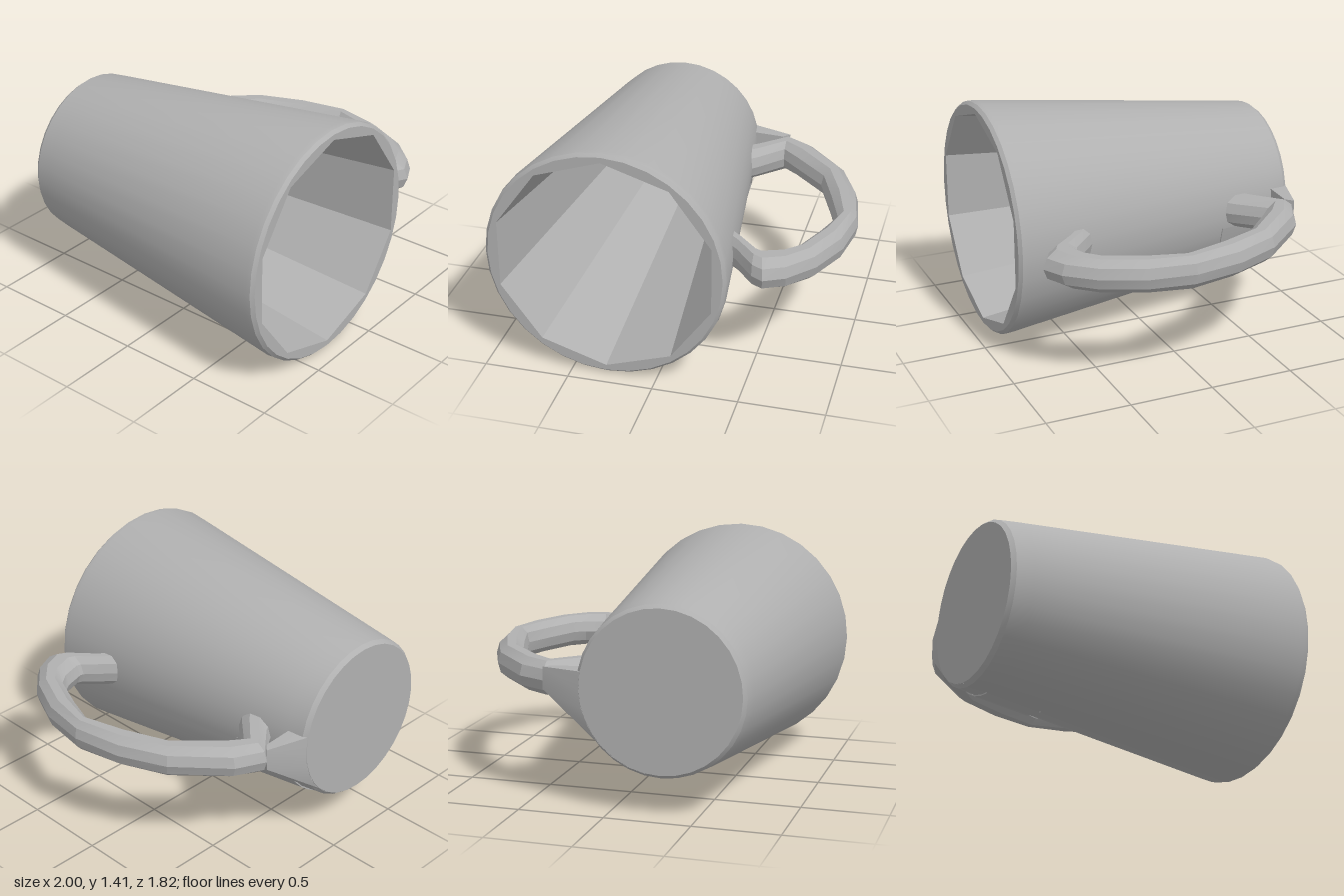
import * as THREE from 'three';
import { toCreasedNormals } from 'three/addons/utils/BufferGeometryUtils.js';
import { ConvexGeometry } from 'three/addons/geometries/ConvexGeometry.js';

const CX = -0.295, CY = 0.705; // axis of the mug, which lies along z
const R_RIM = 0.65, R_FLOOR = 0.43, Z_RIM = 0.91, Z_FLOOR = -0.78;

export function createModel() {
  const group = new THREE.Group();
  const clay = new THREE.MeshStandardMaterial({ color: 0xb0b0b0, side: THREE.DoubleSide });
  clay.name = 'grey clay';

  const add = (name, geometry, crease = 0.4) => {
    const mesh = new THREE.Mesh(toCreasedNormals(geometry, crease), clay);
    mesh.name = name;
    group.add(mesh);
  };
  const onAxis = (geometry) => geometry.translate(CX, CY, 0);
  const lathe = (profile, sides, start, sweep) => onAxis(new THREE.LatheGeometry(
    profile.map(([r, z]) => new THREE.Vector2(r, z)), sides, start, sweep).rotateX(Math.PI / 2));

  // Tapered outside with a closed base and softened edges
  add('outerWall', lathe([[0, -0.91], [0.465, -0.91], [0.485, -0.885], [0.5, -0.78],
    [0.703, 0.86], [0.7, 0.89], [0.682, Z_RIM]], 32));

  // Ten-sided inside wall and floor
  add('innerWall', onAxis(new THREE.CylinderGeometry(R_RIM, R_FLOOR, Z_RIM - Z_FLOOR, 10, 1, true)
    .translate(0, (Z_RIM + Z_FLOOR) / 2, 0).rotateX(Math.PI / 2)));
  add('innerFloor', onAxis(new THREE.CircleGeometry(R_FLOOR, 10, Math.PI / 2).translate(0, 0, Z_FLOOR)));

  // Flat lip between the round outside and the ten-sided inside
  const ring = (r, n) => Array.from({ length: n }, (_, i) => {
    const a = Math.PI / 2 + (i / n) * Math.PI * 2;
    return new THREE.Vector2(r * Math.cos(a), r * Math.sin(a));
  });
  const lip = new THREE.Shape(ring(0.682, 32));
  lip.holes.push(new THREE.Path(ring(R_RIM, 10)));
  add('lip', onAxis(new THREE.ShapeGeometry(lip).translate(0, 0, Z_RIM)));

  // Slightly raised panel under the rear handle joint
  add('sidePanel', lathe([[0.5, -0.78], [0.508, -0.78], [0.55, -0.44], [0.54, -0.44]], 8, 0.1, 1.3));

  // Web that runs from the base edge out to the rear handle corner
  const web = [[0.41, 0.66, -0.83], [0.41, 0.79, -0.83], [0.37, 0.66, -0.79], [0.37, 0.79, -0.79]];
  for (let i = 0; i <= 7; i++) {
    const a = THREE.MathUtils.degToRad(-80 + i * 13);
    for (const [r, z] of [[0.468, -0.908], [0.49, -0.79]]) {
      web.push([CX + r * Math.cos(a), CY + r * Math.sin(a), z]);
    }
  }
  add('handleWeb', new ConvexGeometry(web.map((p) => new THREE.Vector3(...p))), 0.3);

  // Handle: each section is inner x, z and outer x, z
  const sections = [
    [0.19, -0.41, 0.18, -0.66], [0.27, -0.48, 0.24, -0.69], [0.41, -0.635, 0.41, -0.83],
    [0.5, -0.545, 0.58, -0.75], [0.7, -0.35, 0.83, -0.47], [0.79, -0.1, 0.95, -0.2],
    [0.87, 0.13, 1.0, 0.1], [0.8, 0.31, 0.96, 0.38], [0.71, 0.52, 0.85, 0.62],
    [0.65, 0.56, 0.71, 0.78], [0.53, 0.595, 0.59, 0.84], [0.51, 0.59, 0.52, 0.8],
    [0.4, 0.49, 0.4, 0.65], [0.32, 0.42, 0.32, 0.58],
  ];
  const SIDES = 10, positions = [], index = [];
  sections.forEach(([ix, iz, ox, oz], s) => {
    for (let k = 0; k < SIDES; k++) {
      const a = (k / SIDES) * Math.PI * 2;
      const t = 0.5 + 0.5 * Math.cos(a);
      positions.push(ix + (ox - ix) * t, 0.71 + 0.103 * Math.sin(a), iz + (oz - iz) * t);
      if (s === 0) continue;
      const k2 = (k + 1) % SIDES, a0 = (s - 1) * SIDES, b0 = s * SIDES;
      index.push(a0 + k, a0 + k2, b0 + k, a0 + k2, b0 + k2, b0 + k);
    }
  });
  const handle = new THREE.BufferGeometry();
  handle.setAttribute('position', new THREE.Float32BufferAttribute(positions, 3));
  handle.setIndex(index);
  add('handle', handle, 0.3);

  return group;
}
